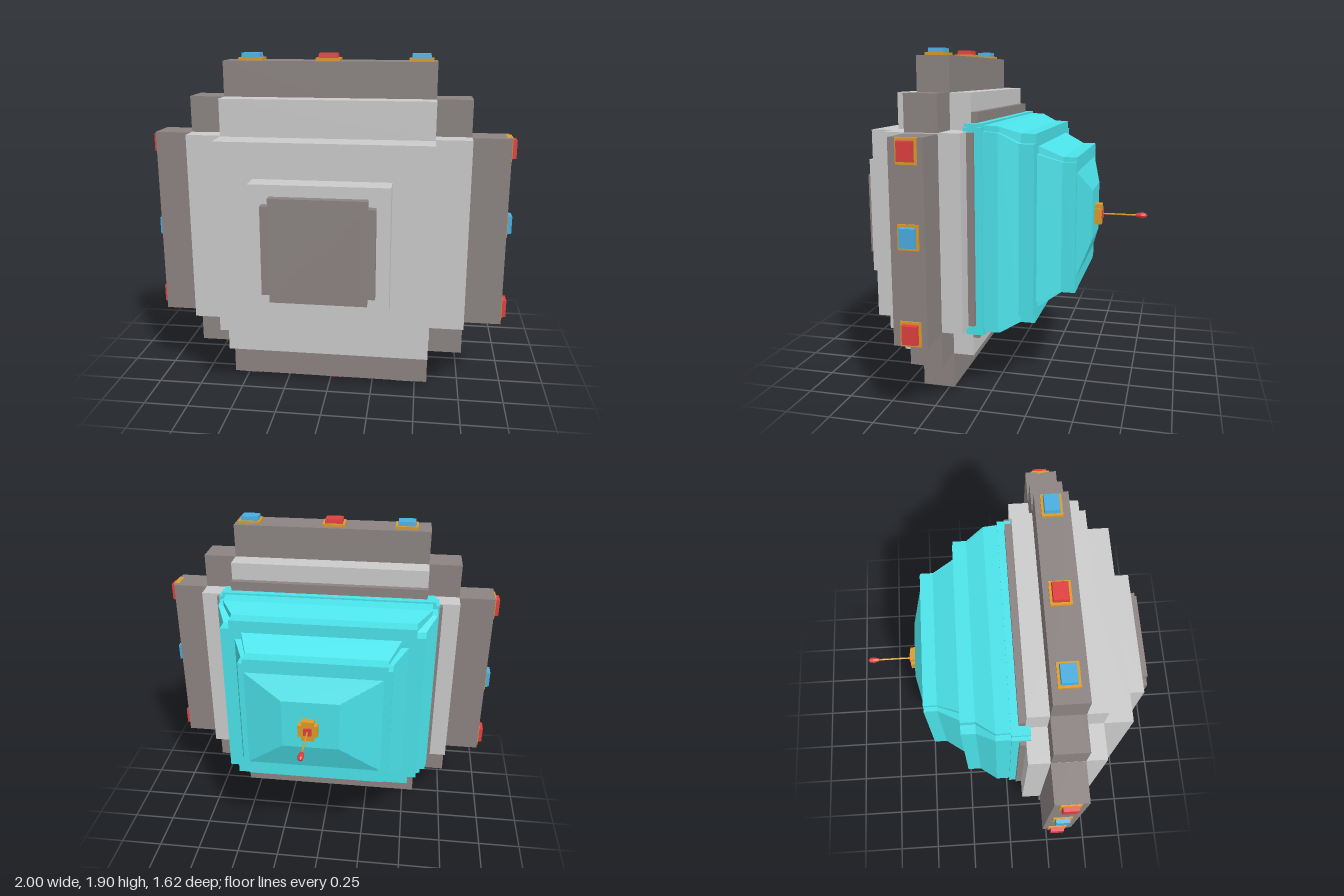
import * as THREE from 'three';

const mat = (color) => new THREE.MeshStandardMaterial({ color, flatShading: true });

export function createModel() {
  const root = new THREE.Group();
  const light = mat(0xcccccc), dark = mat(0x8c8482), teal = mat(0x4be3ea);
  const gold = mat(0xdc9c2a), red = mat(0xe0403f), blue = mat(0x4aaee0);

  const add = (name, geo, material, parent = root) => {
    const m = new THREE.Mesh(geo, material);
    m.name = name;
    parent.add(m);
    return m;
  };
  const CY = 0.945;

  // Rectangle with notched corners, counter-clockwise from +z
  const notched = (x0, x1, y0, y1, nx, ny = nx) => [
    [x0 + nx, y0], [x1 - nx, y0], [x1 - nx, y0 + ny], [x1, y0 + ny],
    [x1, y1 - ny], [x1 - nx, y1 - ny], [x1 - nx, y1], [x0 + nx, y1],
    [x0 + nx, y1 - ny], [x0, y1 - ny], [x0, y0 + ny], [x0 + nx, y0 + ny],
  ];

  // Flat plate with notched corners
  const plate = (name, w, y0, y1, z0, z1, nx, ny, material) => {
    const shape = new THREE.Shape(notched(-w, w, y0, y1, nx, ny).map((p) => new THREE.Vector2(...p)));
    const geo = new THREE.ExtrudeGeometry(shape, { depth: z1 - z0, bevelEnabled: false });
    add(name, geo.translate(0, 0, z0), material);
  };
  const block = (name, w, y0, y1, z0, z1, material) =>
    add(name, new THREE.BoxGeometry(2 * w, y1 - y0, z1 - z0), material)
      .position.set(0, (y0 + y1) / 2, (z0 + z1) / 2);

  // Stepped body
  plate('outerRim', 0.97, 0.03, 1.86, 0.2, 0.38, 0.4, 0.39, dark);
  block('rimCorners', 0.76, 0.23, 1.67, 0.2, 0.38, dark);
  plate('bodyCross', 0.76, 0.23, 1.67, 0.085, 0.49, 0.19, 0.195, light);
  block('frontStep', 0.57, 0.42, 1.47, 0.45, 0.645, light);
  block('frontPanel', 0.36, 0.615, 1.28, 0.6, 0.765, light);
  plate('frontScreen', 0.29, 0.67, 1.22, 0.74, 0.81, 0.04, 0.04, dark);
  plate('backGasket', 0.66, 0.335, 1.57, 0.05, 0.12, 0.09, 0.1, dark);

  // Rear housing: closed loft through sections [z, x0, x1, y0, y1, notch]
  const loft = (sections) => {
    const rings = sections.map(([z, x0, x1, y0, y1, n]) =>
      notched(x0, x1, y0, y1, n).map(([x, y]) => [x, y, z]));
    const pos = [];
    const tri = (...p) => p.forEach((v) => pos.push(...v));
    const mid = ([z, x0, x1, y0, y1]) => [(x0 + x1) / 2, (y0 + y1) / 2, z];
    const first = rings[0], last = rings[rings.length - 1];
    for (let i = 0; i < 12; i++) {
      const j = (i + 1) % 12;
      for (let k = 0; k + 1 < rings.length; k++) {
        const [a, b, c, d] = [rings[k][i], rings[k][j], rings[k + 1][j], rings[k + 1][i]];
        tri(a, d, b);
        tri(b, d, c);
      }
      tri(mid(sections[0]), first[i], first[j]);
      tri(mid(sections[sections.length - 1]), last[j], last[i]);
    }
    const geo = new THREE.BufferGeometry();
    geo.setAttribute('position', new THREE.Float32BufferAttribute(pos, 3));
    geo.computeVertexNormals();
    return geo;
  };
  add('rearHousing', loft([
    [0.11, -0.64, 0.635, 0.37, 1.515, 0.02],
    [0.01, -0.64, 0.635, 0.37, 1.515, 0.02],
    [0.01, -0.63, 0.625, 0.385, 1.505, 0.03],
    [-0.07, -0.63, 0.62, 0.385, 1.5, 0.03],
    [-0.17, -0.57, 0.57, 0.43, 1.46, 0.05],
    [-0.25, -0.57, 0.57, 0.43, 1.46, 0.05],
    [-0.25, -0.48, 0.49, 0.5, 1.39, 0.04],
    [-0.375, -0.405, 0.43, 0.58, 1.33, 0.025],
    [-0.45, -0.405, 0.43, 0.58, 1.33, 0.025],
    [-0.45, -0.36, 0.4, 0.66, 1.25, 0.001],
    [-0.51, -0.13, 0.19, 0.83, 1.12, 0.001],
  ]), teal);

  // Antenna on the back
  const antenna = new THREE.Group();
  antenna.name = 'antenna';
  antenna.position.set(0.04, 0.96, 0);
  root.add(antenna);
  for (const [w, h] of [[0.11, 0.07], [0.07, 0.12]])
    add('antennaMount', new THREE.BoxGeometry(w, h, 0.05), gold, antenna).position.z = -0.525;
  add('antennaSocket', new THREE.BoxGeometry(0.045, 0.045, 0.02), red, antenna).position.z = -0.548;
  add('antennaRod', new THREE.CylinderGeometry(0.005, 0.005, 0.2, 6).rotateX(Math.PI / 2), gold, antenna)
    .position.z = -0.65;
  const tip = [[0, -0.035], [0.01, -0.03], [0.018, 0], [0.015, 0.022], [0, 0.035]];
  add('antennaTip', new THREE.LatheGeometry(tip.map((p) => new THREE.Vector2(...p)), 8).rotateX(-Math.PI / 2), red, antenna)
    .position.z = -0.777;

  // Rim lamps: a gold base with a tapered cap, growing along local +y
  const lamp = (x, y, angle, color) => {
    const g = new THREE.Group();
    g.name = 'rimLamp';
    g.position.set(x, y, 0.285);
    g.rotation.z = angle;
    add('lampBase', new THREE.BoxGeometry(0.13, 0.03, 0.11), gold, g);
    const cap = new THREE.CylinderGeometry(0.93 * Math.SQRT1_2, Math.SQRT1_2, 0.032, 4).rotateY(Math.PI / 4);
    add('lampCap', cap.scale(0.105, 1, 0.085), color, g).position.y = 0.023;
    root.add(g);
  };
  const colors = (i, odd, even) => (i % 2 ? odd : even);
  [-0.43, -0.01, 0.485].forEach((x, i) => lamp(x, 1.86, 0, colors(i, red, blue)));
  [-0.475, 0.02, 0.44].forEach((x, i) => lamp(x, 0.036, Math.PI, colors(i, red, blue)));
  [0.49, 0.985, 1.405].forEach((y, i) => lamp(0.963, y, -Math.PI / 2, colors(i, blue, red)));
  [0.49, 0.91, 1.4].forEach((y, i) => lamp(-0.963, y, Math.PI / 2, colors(i, blue, red)));

  return root;
}
